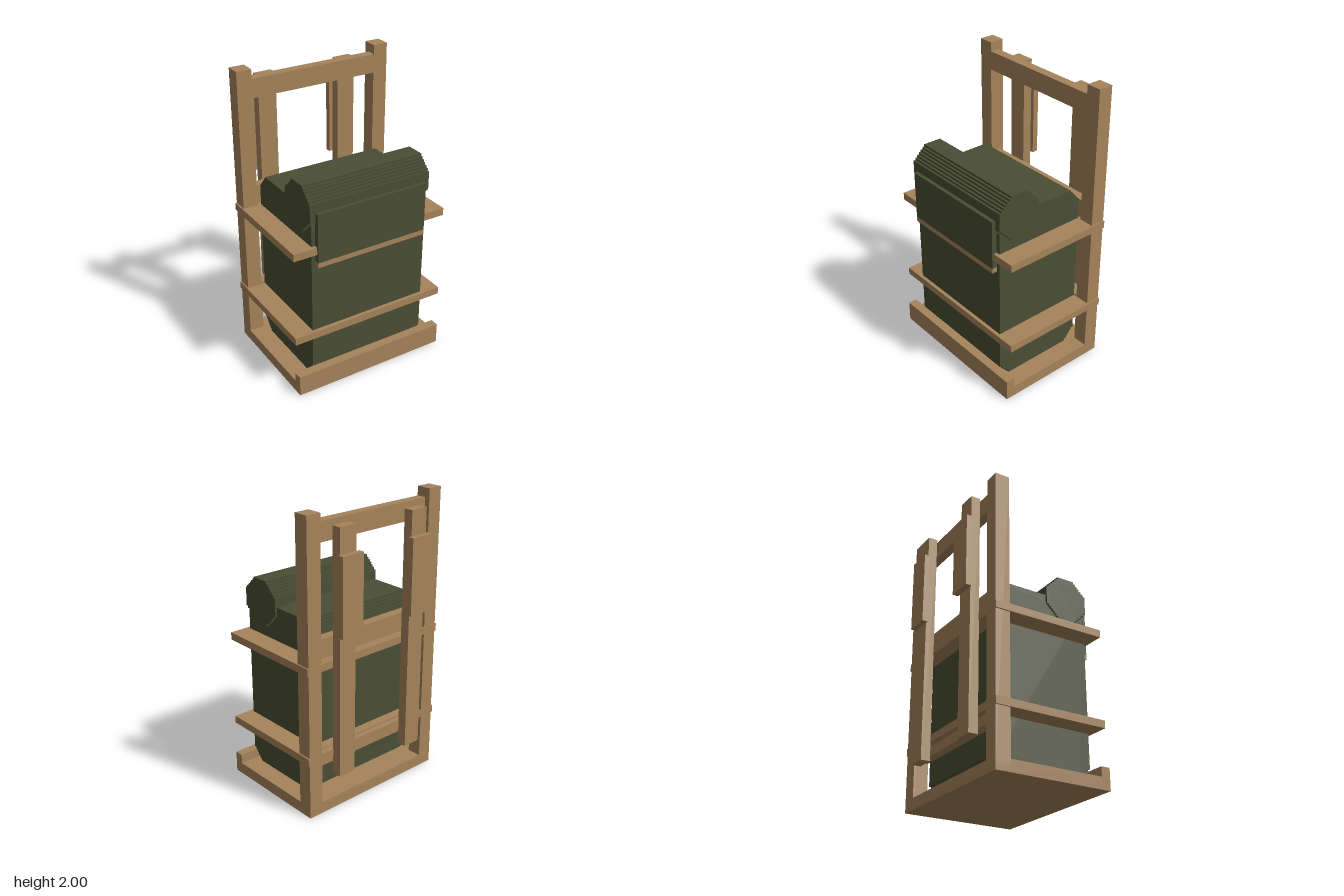
import * as THREE from 'three';

const wood = new THREE.MeshStandardMaterial({ name: 'tan wood', color: 0xa6845b });
const canvas = new THREE.MeshStandardMaterial({ name: 'olive canvas', color: 0x4a4e34 });

export function createModel() {
  const model = new THREE.Group();
  model.name = 'framePack';

  // Box given by its extents along each axis
  function box(name, mat, [x0, x1], [y0, y1], [z0, z1]) {
    const mesh = new THREE.Mesh(new THREE.BoxGeometry(x1 - x0, y1 - y0, z1 - z0), mat);
    mesh.position.set((x0 + x1) / 2, (y0 + y1) / 2, (z0 + z1) / 2);
    mesh.name = name;
    model.add(mesh);
  }

  // Block running along x whose four long edges are cut back in small steps
  function steppedBlock(name, mat, halfWidth, [z0, z1], [y0, y1], cutZ, cutY, steps) {
    const dz = cutZ / steps, dy = cutY / steps;
    const pts = [];
    // Start of each corner, then its two alternating moves, counter-clockwise
    const corners = [
      [z1 - cutZ, y0, [0, dy], [dz, 0]],
      [z1, y1 - cutY, [-dz, 0], [0, dy]],
      [z0 + cutZ, y1, [0, -dy], [-dz, 0]],
      [z0, y0 + cutY, [dz, 0], [0, -dy]],
    ];
    for (const [z, y, a, b] of corners) {
      const p = new THREE.Vector2(z, y);
      pts.push(p.clone());
      for (let i = 0; i < steps; i++) {
        for (const move of [a, b]) {
          p.x += move[0];
          p.y += move[1];
          pts.push(p.clone());
        }
      }
    }
    const geo = new THREE.ExtrudeGeometry(new THREE.Shape(pts), { depth: 2 * halfWidth, bevelEnabled: false });
    geo.translate(0, 0, -halfWidth).rotateY(-Math.PI / 2);
    const mesh = new THREE.Mesh(geo, mat);
    mesh.name = name;
    model.add(mesh);
  }

  // Base shelf with a raised front lip
  box('baseShelf', wood, [-0.555, 0.555], [0, 0.08], [-0.352, 0.4]);
  box('frontLip', wood, [-0.555, 0.555], [0, 0.145], [0.395, 0.457]);

  // Posts, shoulder straps and pads on both sides
  for (const [side, s] of [['left', 1], ['right', -1]]) {
    const span = (a, b) => (s > 0 ? [a, b] : [-b, -a]);
    box(side + 'Post', wood, span(0.452, 0.555), [0, 2], [-0.352, -0.25]);
    box(side + 'Strap', wood, span(0.232, 0.36), [0.265, 1.91], [-0.417, -0.352]);
    box(side + 'StrapPad', wood, span(0.207, 0.373), [1.23, 1.745], [-0.457, -0.417]);
  }

  // Cross rails between the posts
  for (const [name, y] of [['lowerRail', [0.325, 0.452]], ['middleRail', [1.075, 1.203]], ['topRail', [1.81, 1.938]]]) {
    box(name, wood, [-0.452, 0.452], y, [-0.315, -0.251]);
  }

  // Flat bands around the pack
  box('lowerBand', wood, [-0.565, 0.565], [0.39, 0.441], [-0.354, 0.432]);
  box('upperBand', wood, [-0.565, 0.565], [1.01, 1.061], [-0.354, 0.432]);

  // Pack body, bedroll and front flap
  steppedBlock('packBody', canvas, 0.427, [-0.25, 0.408], [0.078, 1.291], 0.075, 0.085, 5);
  steppedBlock('bedroll', canvas, 0.44, [0.11, 0.418], [1.136, 1.445], 0.09, 0.09, 6);
  box('frontFlap', canvas, [-0.4, 0.4], [0.955, 1.291], [0.4, 0.444]);
  box('flapTrim', wood, [-0.4, 0.4], [0.92, 0.955], [0.4, 0.444]);

  return model;
}
